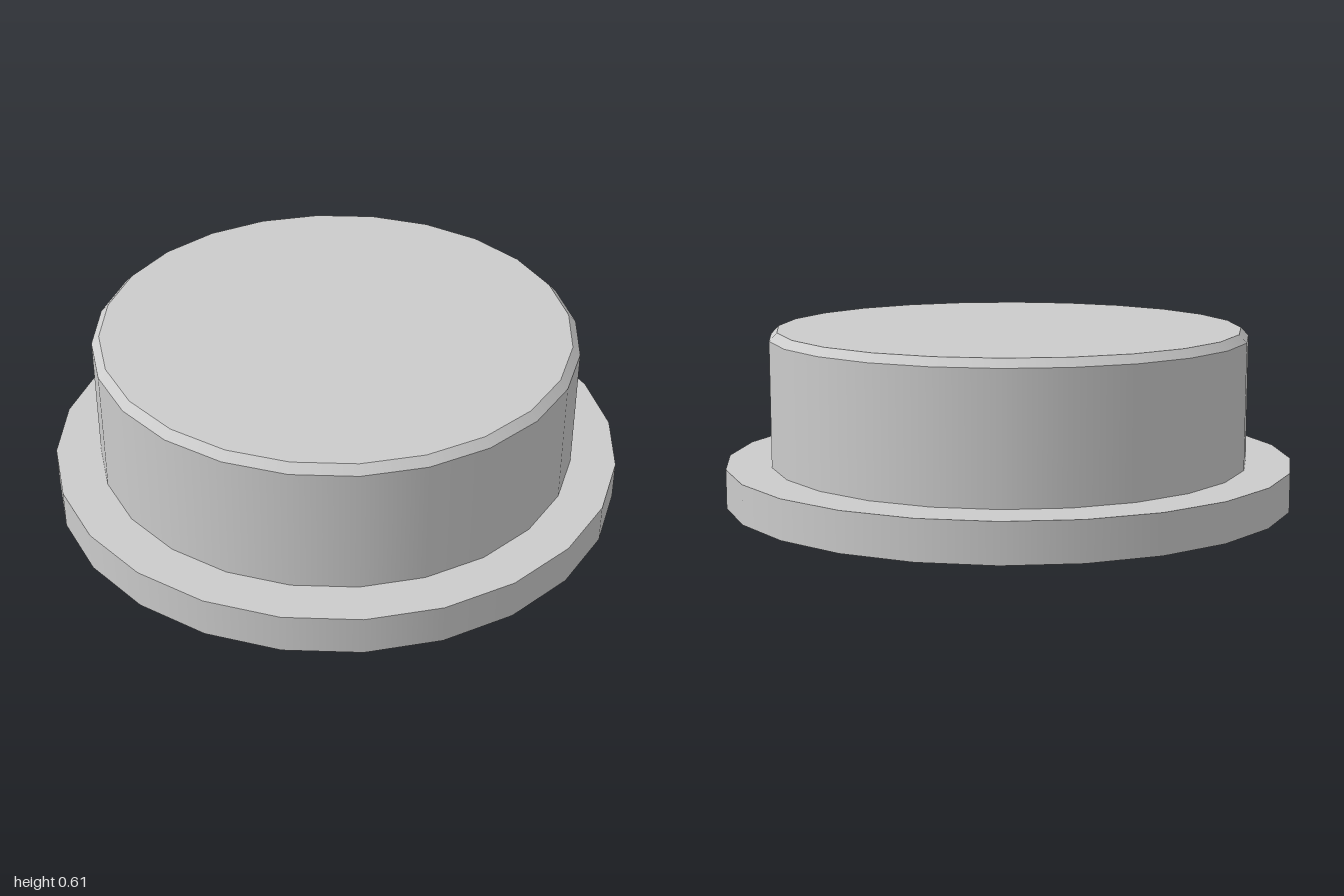
import * as THREE from 'three';

const SIDES = 24;
const material = new THREE.MeshStandardMaterial({ color: 0xcccccc });

// Round section standing between two heights, smooth around its side
function section(name, bottomRadius, topRadius, y0, y1, open = false) {
  const geometry = new THREE.CylinderGeometry(topRadius, bottomRadius, y1 - y0, SIDES, 1, open);
  geometry.translate(0, (y0 + y1) / 2, 0);
  const mesh = new THREE.Mesh(geometry, material);
  mesh.name = name;
  return mesh;
}

export function createModel() {
  const model = new THREE.Group();
  model.name = 'flangedButton';

  // Wide base flange
  model.add(section('flange', 1, 1, 0, 0.137));

  // Raised body with a bevelled rim and flat top
  const cap = new THREE.Group();
  cap.name = 'cap';
  cap.add(section('capWall', 0.842, 0.842, 0.137, 0.577, true));
  cap.add(section('capBevel', 0.842, 0.815, 0.577, 0.605, true));

  const top = new THREE.Mesh(new THREE.CircleGeometry(0.815, SIDES), material);
  top.name = 'capTop';
  top.rotation.x = -Math.PI / 2;
  top.position.y = 0.605;
  cap.add(top);
  model.add(cap);

  return model;
}
